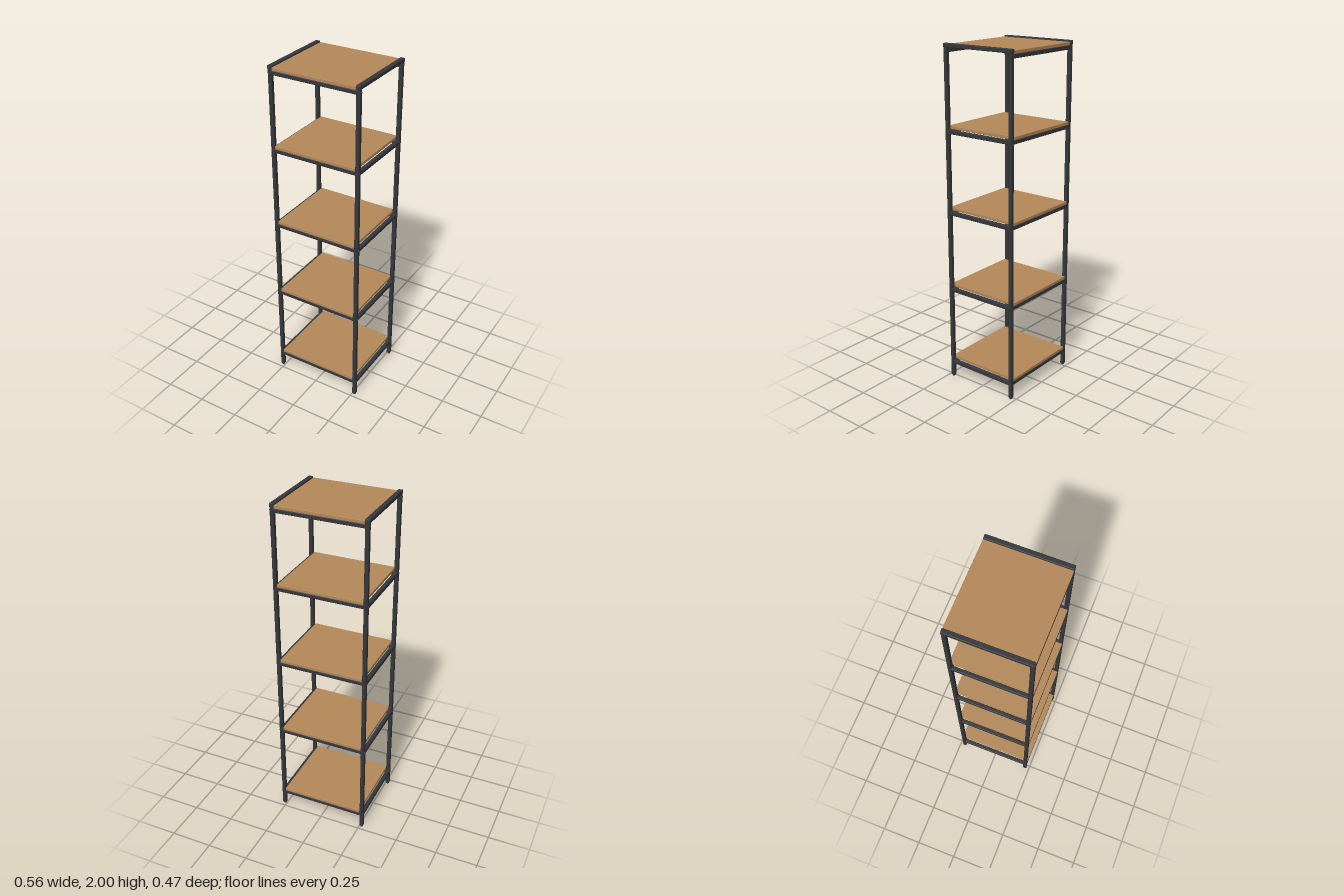
import * as THREE from 'three';
import { RoundedBoxGeometry } from 'three/addons/geometries/RoundedBoxGeometry.js';

export function createModel() {
  const model = new THREE.Group();
  model.name = 'shelvingUnit';

  const metal = new THREE.MeshStandardMaterial({ color: 0x35373a });
  metal.name = 'dark metal';
  const wood = new THREE.MeshStandardMaterial({ color: 0xb5895a });
  wood.name = 'warm wood';

  const tube = 0.023;      // square tube size
  const postX = 0.263;     // post centres
  const postZ = 0.221;
  const shelfTops = [0.129, 0.602, 1.075, 1.548, 1.992];
  const thickness = 0.018;

  function bar(name, w, h, d, x, y, z, material = metal, radius = 0.004) {
    const mesh = new THREE.Mesh(new RoundedBoxGeometry(w, h, d, 2, radius), material);
    mesh.name = name;
    mesh.position.set(x, y, z);
    model.add(mesh);
  }

  // Four upright posts with small glides underneath
  for (const sx of [-1, 1]) {
    for (const sz of [-1, 1]) {
      bar('post', tube, 1.983, tube, sx * postX, 0.007 + 1.983 / 2, sz * postZ);
      const foot = new THREE.Mesh(new THREE.CylinderGeometry(0.01, 0.008, 0.012, 16), metal);
      foot.name = 'foot';
      foot.position.set(sx * postX, 0.006, sz * postZ);
      model.add(foot);
    }
  }

  // Boards, each carried by a frame of four rails
  shelfTops.forEach((top, i) => {
    const isTop = i === shelfTops.length - 1;
    const railY = top - thickness - tube / 2;
    bar('shelfBoard', 0.498, thickness, 0.465, 0, top - thickness / 2, 0, wood, 0.002);
    for (const s of [-1, 1]) {
      bar('crossRail', 0.51, tube, tube, 0, railY, s * postZ);
      // The top side rails cap the posts; the others run between them
      if (isTop) bar('topSideRail', 0.027, 0.022, 0.466, s * postX, 1.989, 0);
      else bar('sideRail', tube, tube, 0.43, s * postX, railY, 0);
    }
    // Bolt heads where the rails meet the posts
    for (const sx of [-1, 1]) {
      for (const sz of [-1, 1]) {
        const bolt = new THREE.Mesh(new THREE.CylinderGeometry(0.006, 0.007, 0.004, 12), metal);
        bolt.name = 'bolt';
        bolt.rotation.z = -sx * Math.PI / 2;
        bolt.position.set(sx * 0.2755, railY, sz * postZ);
        model.add(bolt);
      }
    }
  });

  return model;
}
